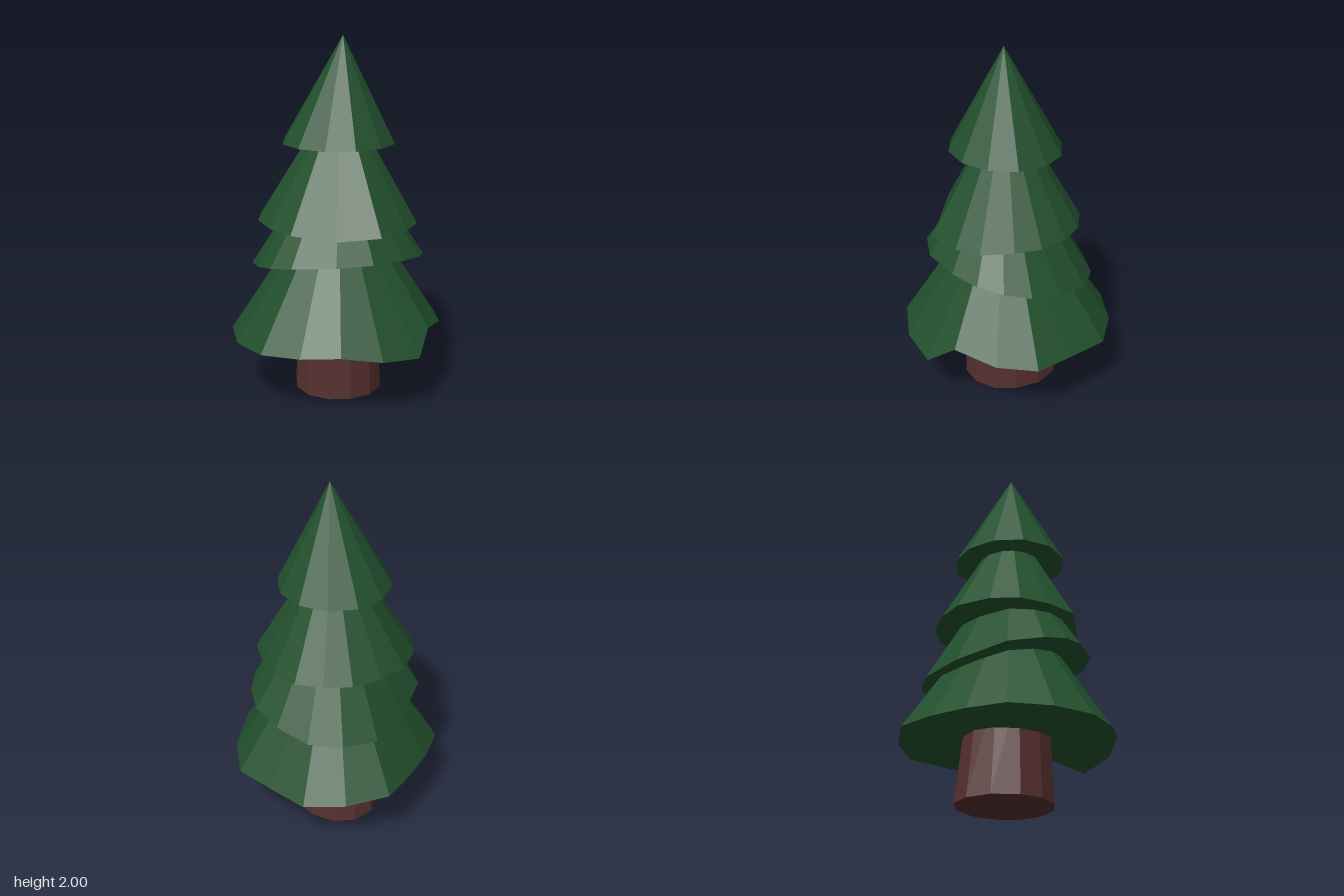
import * as THREE from 'three';

const leaf = new THREE.MeshStandardMaterial({ color: 0x22502d, flatShading: true });
const bark = new THREE.MeshStandardMaterial({ color: 0x55302e, flatShading: true });

// Uneven cone: a rim of [x, z, y] points joined to an apex above and closed underneath.
function tier(name, apex, rim, floorY) {
  const pos = [];
  rim.forEach((p, i) => {
    const q = rim[(i + 1) % rim.length];
    const a = [p[0], p[2], p[1]];
    const b = [q[0], q[2], q[1]];
    pos.push(...apex, ...b, ...a);
    pos.push(0, floorY, 0, ...a, ...b);
  });
  const geo = new THREE.BufferGeometry();
  geo.setAttribute('position', new THREE.Float32BufferAttribute(pos, 3));
  geo.computeVertexNormals();
  const mesh = new THREE.Mesh(geo, leaf);
  mesh.name = name;
  return mesh;
}

// Adds a height to each [x, z] rim point by a rule.
const withHeight = (rim, rule) => rim.map(([x, z]) => [x, z, rule(x, z)]);

export function createModel() {
  const tree = new THREE.Group();
  tree.name = 'pineTree';

  // Trunk: tapered, with the foot kicked out towards the back
  const trunkGeo = new THREE.CylinderGeometry(0.22, 0.245, 0.6, 12);
  trunkGeo.translate(0, 0.3, 0);
  const p = trunkGeo.attributes.position;
  for (let i = 0; i < p.count; i++) {
    if (p.getY(i) < 0.1 && p.getZ(i) < 0) p.setZ(i, p.getZ(i) * 1.2);
  }
  trunkGeo.computeVertexNormals();
  const trunk = new THREE.Mesh(trunkGeo, bark);
  trunk.name = 'trunk';
  tree.add(trunk);

  // Lowest boughs: wide, with a notch at the front left
  tree.add(tier('lowestBoughs', [0, 1.27, 0.01], [
    [-0.07, -0.59, 0.37], [0.18, -0.565, 0.36], [0.39, -0.465, 0.35], [0.5, -0.25, 0.355],
    [0.6, -0.04, 0.36], [0.545, 0.18, 0.38], [0.4, 0.38, 0.43], [0.3, 0.515, 0.315],
    [0.07, 0.585, 0.345], [-0.155, 0.56, 0.385], [-0.35, 0.46, 0.365], [-0.525, 0.305, 0.35],
    [-0.605, 0.08, 0.345], [-0.58, -0.155, 0.35], [-0.43, -0.325, 0.36], [-0.26, -0.465, 0.37],
  ], 0.36));

  // Lower boughs: rim tilted down to the back
  tree.add(tier('lowerBoughs', [0, 1.5, 0.02], withHeight([
    [-0.05, -0.465], [0.15, -0.455], [0.32, -0.37], [0.43, -0.2], [0.485, -0.03],
    [0.46, 0.12], [0.39, 0.25], [0.26, 0.36], [0.06, 0.447], [-0.14, 0.43],
    [-0.35, 0.3], [-0.44, 0.2], [-0.477, 0.07], [-0.465, -0.125], [-0.26, -0.345],
  ], (x, z) => 0.755 + 0.19 * z), 0.755));

  // Middle boughs: one long flat facet at the front right
  tree.add(tier('middleBoughs', [0.01, 1.73, 0.01], withHeight([
    [-0.1, -0.395], [0.07, -0.4], [0.22, -0.35], [0.34, -0.245], [0.405, -0.1],
    [0.41, 0.05], [0.38, 0.23], [0.28, 0.34], [0.105, 0.44], [-0.12, 0.36],
    [-0.345, 0.27], [-0.42, 0.12], [-0.445, -0.05], [-0.39, -0.2], [-0.26, -0.34],
  ], (x, z) => (x < 0 && z > 0.3 ? 0.957 : 0.995 - 0.03 * z)), 0.99));

  // Top boughs: a nearly regular cone
  const topRim = Array.from({ length: 12 }, (_, i) => {
    const a = (i / 12) * Math.PI * 2;
    return [0.312 * Math.sin(a), 0.006 - 0.312 * Math.cos(a)];
  });
  tree.add(tier('topBoughs', [0.02, 2, 0.02], withHeight(topRim, (x, z) => 1.42 - 0.01 * x + 0.025 * z), 1.42));

  return tree;
}
